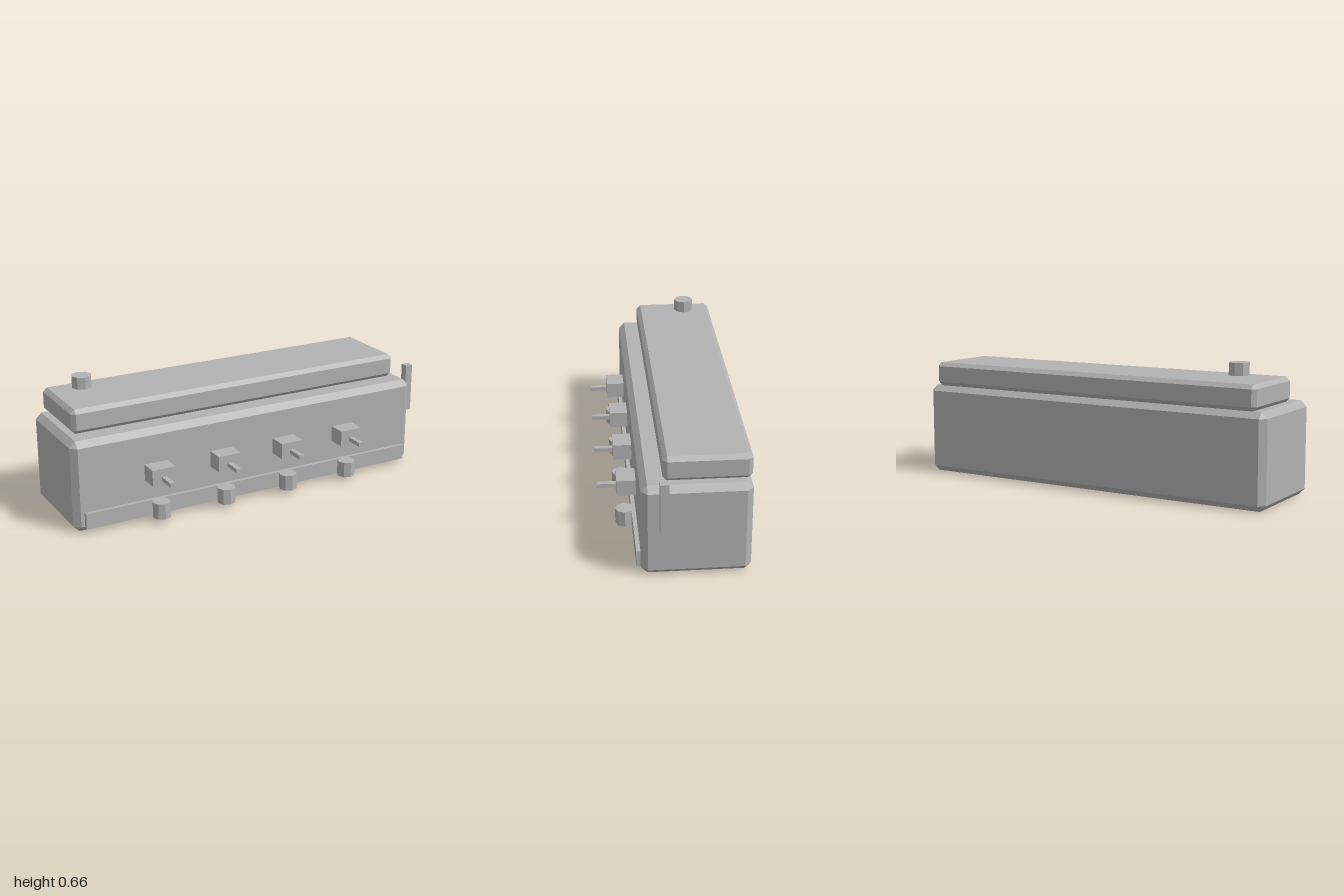
import * as THREE from 'three';
import { ConvexGeometry } from 'three/addons/geometries/ConvexGeometry.js';

const grey = new THREE.MeshStandardMaterial({ color: 0xb2b2b2, flatShading: true });
grey.name = 'grey';

// Box with chamfered edges and cut corners, given by its limits
function chamferBox(x0, x1, y0, y1, z0, z1, c) {
  const centre = new THREE.Vector3(x0 + x1, y0 + y1, z0 + z1).multiplyScalar(0.5);
  const half = new THREE.Vector3(x1 - x0, y1 - y0, z1 - z0).multiplyScalar(0.5);
  const points = [];
  for (const sx of [-1, 1]) for (const sy of [-1, 1]) for (const sz of [-1, 1]) {
    for (const full of ['x', 'y', 'z']) {
      const p = half.clone().subScalar(c);
      p[full] = half[full];
      points.push(p.multiply(new THREE.Vector3(sx, sy, sz)).add(centre));
    }
  }
  return new ConvexGeometry(points);
}

function box(x0, x1, y0, y1, z0, z1) {
  return new THREE.BoxGeometry(x1 - x0, y1 - y0, z1 - z0)
    .translate((x0 + x1) / 2, (y0 + y1) / 2, (z0 + z1) / 2);
}

// Upright eight-sided cylinder
function octagon(x, z, r, y0, y1) {
  return new THREE.CylinderGeometry(r, r, y1 - y0, 8).translate(x, (y0 + y1) / 2, z);
}

export function createModel() {
  const model = new THREE.Group();
  model.name = 'counter';
  const add = (name, geometry) => {
    const mesh = new THREE.Mesh(geometry, grey);
    mesh.name = name;
    model.add(mesh);
  };

  // Main volumes
  add('body', chamferBox(-1, 0.935, 0, 0.46, -0.345, 0.163, 0.03));
  add('lid', chamferBox(-0.951, 0.885, 0.46, 0.582, -0.345, 0.061, 0.02));

  // Base rail, floating knob and side handle
  add('frontRail', box(-0.951, 0.885, 0.023, 0.103, 0.14, 0.183));
  add('topKnob', octagon(-0.797, -0.193, 0.051, 0.604, 0.664));
  add('sideHandle', box(0.96, 1, 0.257, 0.512, 0.042, 0.082));

  // Four taps, each with a spout and a cup below
  for (let i = 0; i < 4; i++) {
    const x = -0.573 + i * 0.357;
    add('tapBlock', box(x - 0.061, x + 0.061, 0.206, 0.287, 0.14, 0.255));
    add('tapSpout', box(x - 0.013, x + 0.013, 0.226, 0.247, 0.25, 0.347));
    add('cup', octagon(x, 0.215, 0.046, 0.023, 0.103));
  }
  return model;
}
